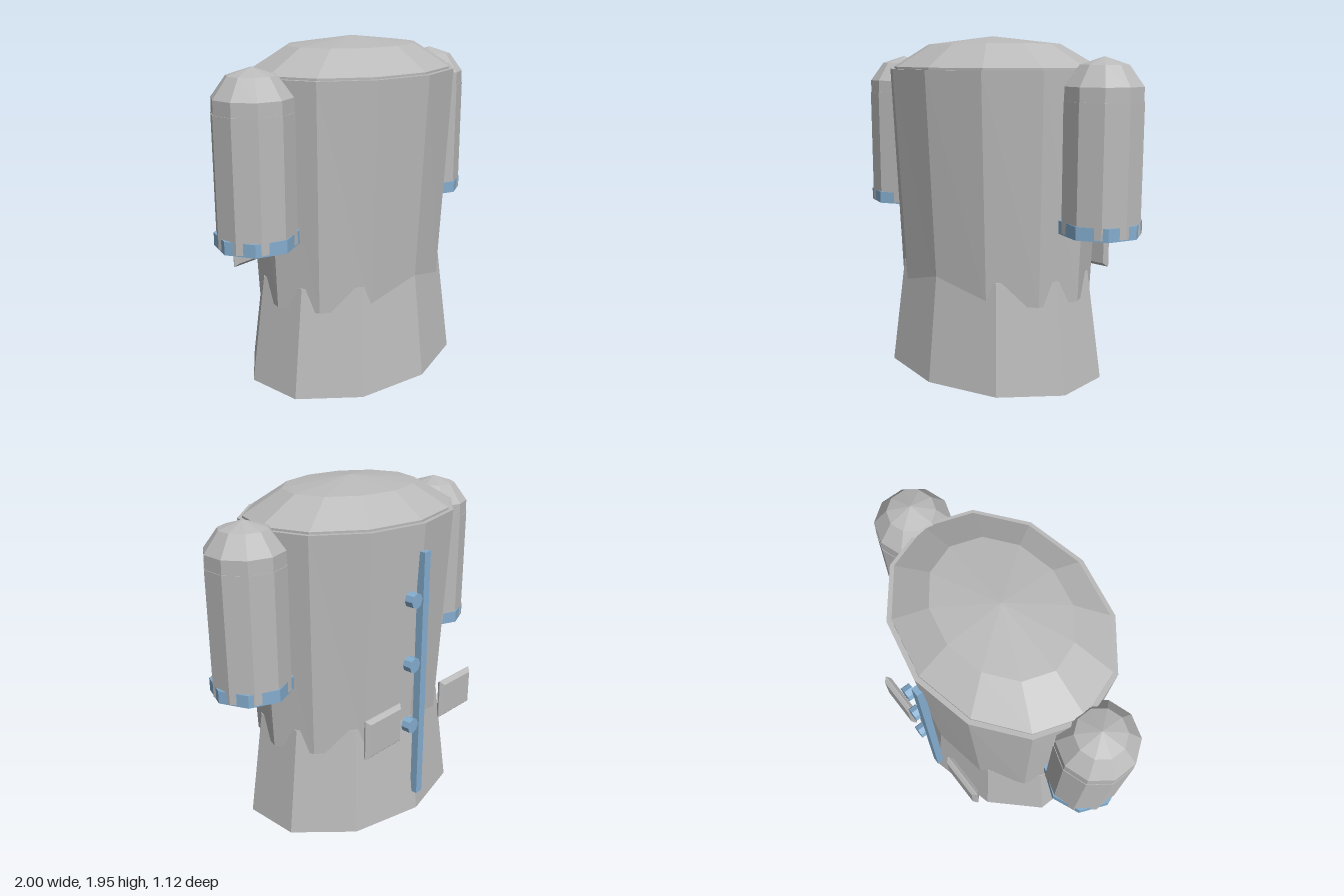
import * as THREE from 'three';

export function createModel() {
  const root = new THREE.Group();
  const grey = new THREE.MeshStandardMaterial({ color: 0xbababa, flatShading: true });
  grey.name = 'light grey';
  const blue = new THREE.MeshStandardMaterial({ color: 0x84adcf, flatShading: true });
  blue.name = 'soft blue';

  function add(name, geometry, material, x = 0, y = 0, z = 0, parent = root) {
    const mesh = new THREE.Mesh(geometry, material);
    mesh.name = name;
    mesh.position.set(x, y, z);
    parent.add(mesh);
    return mesh;
  }
  // Faceted turned shape; profile runs bottom to top as [radius, y]
  const turned = (profile, sides) =>
    new THREE.LatheGeometry(profile.map(([r, y]) => new THREE.Vector2(r, y)), sides);
  // Tapered elliptical prism from [rx, rz, y] at bottom and top
  function taperedOval(bottom, top, sides) {
    const g = turned([[0, 0], [1, 0], [1, 1], [0, 1]], sides);
    const p = g.attributes.position;
    for (let i = 0; i < p.count; i++) {
      const [rx, rz, y] = p.getY(i) < 0.5 ? bottom : top;
      p.setXYZ(i, p.getX(i) * rx, y, p.getZ(i) * rz);
    }
    return g;
  }

  const cz = 0.013;

  // Trunk: flared skirt, widening torso and shallow domed lid
  add('lowerBody', taperedOval([0.72, 0.545, 0], [0.627, 0.475, 0.625], 10), grey, 0, 0, cz);
  add('upperBody', taperedOval([0.635, 0.47, 0.49], [0.685, 0.54, 1.76], 12), grey, 0, 0, cz);
  const lid = add('domedLid', turned([[1, 1.75], [1, 1.772], [0.64, 1.9], [0, 1.945]], 12), grey, 0, 0, cz);
  lid.scale.set(0.66, 1, 0.512);

  // Side pods with round tops and blue collars
  for (const side of [-1, 1]) {
    const pod = new THREE.Group();
    pod.name = side > 0 ? 'leftPod' : 'rightPod';
    pod.position.set(side * 0.775, 0, cz);
    root.add(pod);
    add('podShell', turned([[0, 0.908], [0.217, 0.908], [0.217, 1.605], [0, 1.605]], 10), grey, 0, 0, 0, pod);
    add('podDome', turned([[0.214, 1.6], [0.213, 1.68], [0.132, 1.79], [0, 1.832]], 10), grey, 0, 0, 0, pod);
    add('podCollar', turned([[0, 0.9], [0.225, 0.9], [0.225, 0.972], [0, 0.972]], 8), blue, 0, 0, 0, pod);
  }

  // Rear fastening strip and buttons
  add('rearStrip', new THREE.BoxGeometry(0.05, 1.49, 0.045), blue, 0, 0.865, -0.525);
  const buttonGeo = new THREE.CylinderGeometry(0.044, 0.044, 0.05, 8).rotateX(Math.PI / 2);
  for (const y of [1.365, 0.99, 0.615]) add('button', buttonGeo, blue, 0.1, y, -0.54);

  // Bevelled rear pocket plates
  const b = 0.021, w = 0.145 - b, h = 0.117 - b;
  const outline = new THREE.Shape([[-w, -h], [w, -h], [w, h], [-w, h]].map(([x, y]) => new THREE.Vector2(x, y)));
  const plateGeo = new THREE.ExtrudeGeometry(outline, {
    depth: 0.006, bevelEnabled: true, bevelThickness: b, bevelSize: b, bevelSegments: 1,
  }).center();
  for (const side of [-1, 1]) add('rearPlate', plateGeo, grey, side * 0.327, 0.663, -0.532);

  return root;
}
